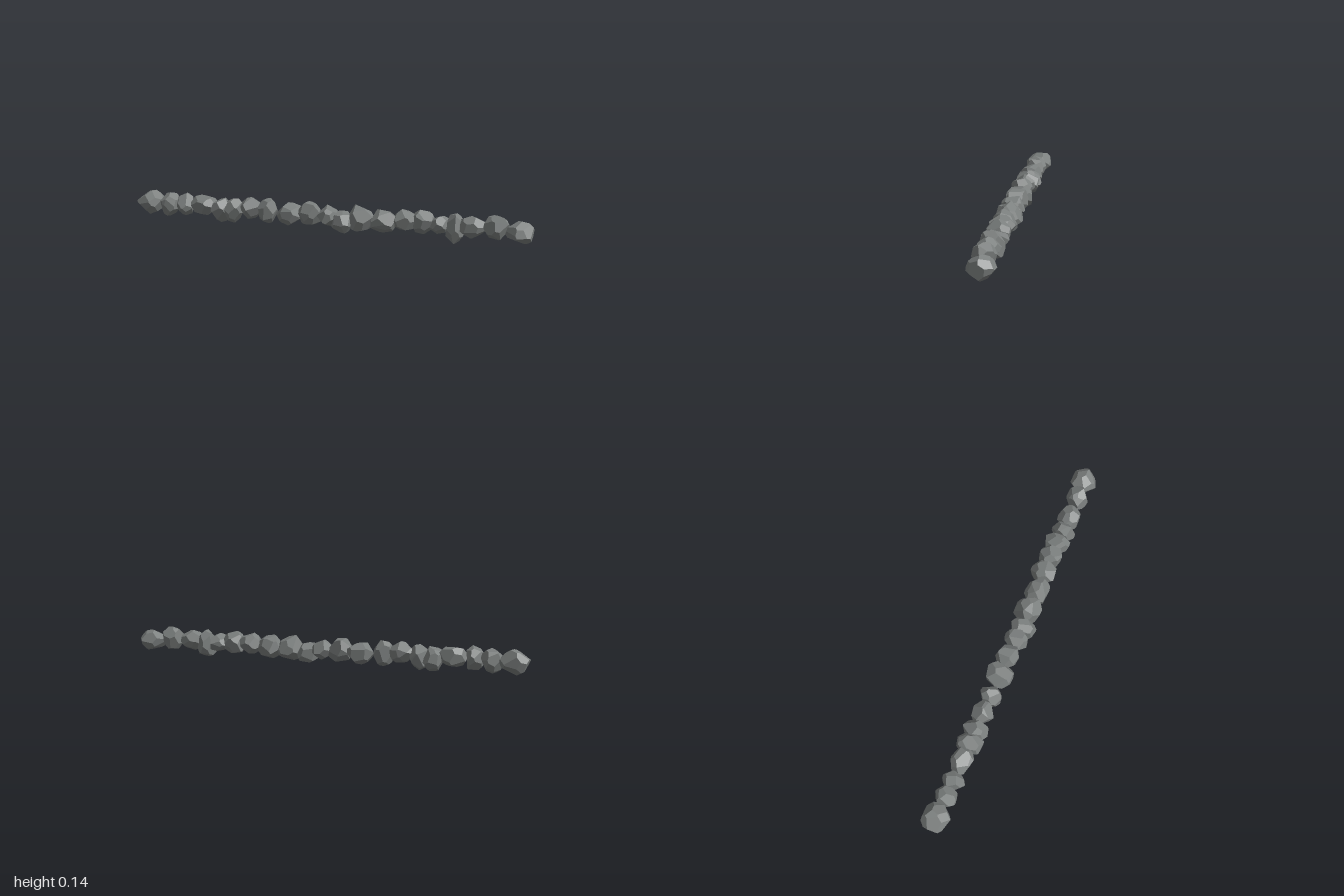
import * as THREE from 'three';
import { ConvexGeometry } from 'three/addons/geometries/ConvexGeometry.js';

// One row per stone: x from/to, y from/to, z from/to
const STONES = [
  [-1.00, -0.86, 0.02, 0.14, -0.07, 0.06],
  [-0.88, -0.77, 0.02, 0.14, -0.06, 0.05],
  [-0.79, -0.70, 0.03, 0.145, -0.055, 0.055],
  [-0.71, -0.57, 0.04, 0.135, -0.06, 0.05],
  [-0.60, -0.50, 0.01, 0.13, -0.07, 0.06],
  [-0.53, -0.43, 0.01, 0.135, -0.065, 0.06],
  [-0.45, -0.33, 0.04, 0.145, -0.055, 0.055],
  [-0.35, -0.25, 0.02, 0.145, -0.055, 0.055],
  [-0.25, -0.12, 0.02, 0.13, -0.07, 0.06],
  [-0.14, -0.02, 0.03, 0.14, -0.06, 0.05],
  [-0.04, 0.06, 0.03, 0.13, -0.06, 0.06],
  [0.03, 0.14, 0.01, 0.11, -0.06, 0.07],
  [0.11, 0.25, 0.02, 0.145, -0.07, 0.06],
  [0.22, 0.36, 0.02, 0.135, -0.06, 0.055],
  [0.33, 0.45, 0.04, 0.14, -0.07, 0.055],
  [0.42, 0.54, 0.03, 0.145, -0.06, 0.05],
  [0.51, 0.61, 0.04, 0.125, -0.07, 0.06],
  [0.59, 0.68, 0.00, 0.14, -0.06, 0.06],
  [0.65, 0.78, 0.03, 0.135, -0.055, 0.05],
  [0.77, 0.89, 0.03, 0.145, -0.055, 0.055],
  [0.87, 1.00, 0.02, 0.125, -0.07, 0.06],
];

function seeded(seed) {
  let s = seed * 7919 + 17;
  return () => (s = (s * 16807) % 2147483647) / 2147483647;
}

// Chiselled stone: the solid left after cutting space with planes around a ball
function stoneGeometry(seed, [x0, x1, y0, y1, z0, z1]) {
  const rand = seeded(seed);
  for (let i = 0; i < 5; i++) rand();
  const count = 20;
  const spin = rand() * Math.PI * 2;
  const planes = [];
  for (let i = 0; i < count; i++) {
    const y = 1 - (2 * i + 1) / count;
    const r = Math.sqrt(1 - y * y);
    const a = spin + i * 2.39996;
    const jitter = () => (rand() - 0.5) * 0.5;
    const n = new THREE.Vector3(r * Math.cos(a) + jitter(), y + jitter(), r * Math.sin(a) + jitter());
    planes.push({ n: n.normalize(), d: 0.9 + rand() * 0.2 });
  }

  // Corners are the plane triples that lie inside every other plane
  const corners = [];
  for (let i = 0; i < count; i++) for (let j = i + 1; j < count; j++) for (let k = j + 1; k < count; k++) {
    const [a, b, c] = [planes[i], planes[j], planes[k]];
    const bc = b.n.clone().cross(c.n);
    const det = a.n.dot(bc);
    if (Math.abs(det) < 1e-4) continue;
    const p = bc.multiplyScalar(a.d)
      .addScaledVector(c.n.clone().cross(a.n), b.d)
      .addScaledVector(a.n.clone().cross(b.n), c.d)
      .divideScalar(det);
    if (planes.every(q => q.n.dot(p) < q.d + 1e-6)) corners.push(p);
  }

  // Fit the stone to its place in the row
  const from = new THREE.Box3().setFromPoints(corners);
  const size = from.getSize(new THREE.Vector3());
  const low = new THREE.Vector3(x0, y0, z0);
  const scale = new THREE.Vector3(x1, y1, z1).sub(low).divide(size);
  corners.forEach(p => p.sub(from.min).multiply(scale).add(low));
  return new ConvexGeometry(corners);
}

export function createModel() {
  const group = new THREE.Group();
  group.name = 'stoneRow';
  const material = new THREE.MeshStandardMaterial({ color: 0x7b7f7e, flatShading: true });
  STONES.forEach((box, i) => {
    const stone = new THREE.Mesh(stoneGeometry(i + 1, box), material);
    stone.name = `stone${i + 1}`;
    group.add(stone);
  });
  return group;
}
